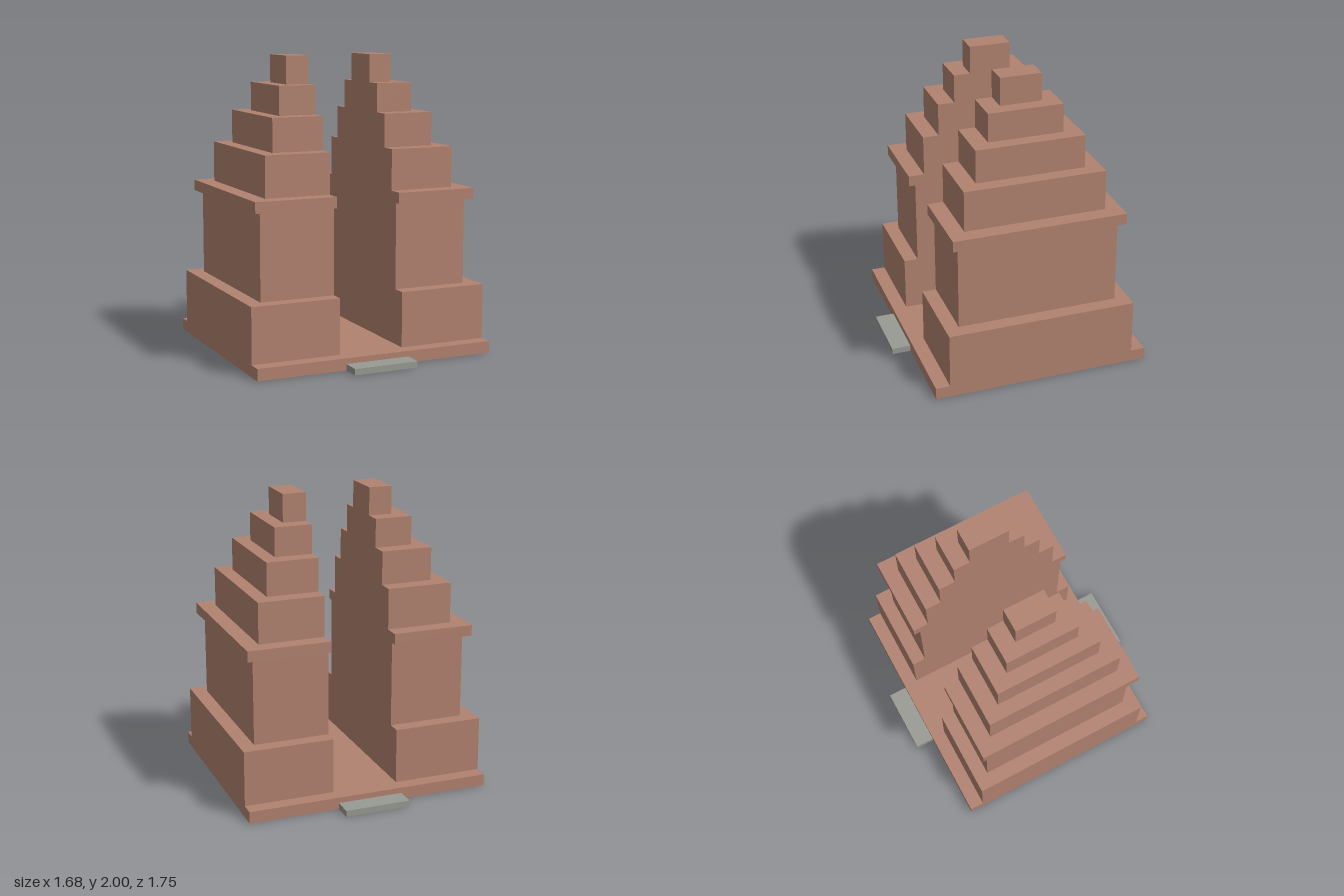
import * as THREE from 'three';

export function createModel() {
  const model = new THREE.Group();
  model.name = 'splitGate';

  const brick = new THREE.MeshStandardMaterial({ color: 0xb28270 });
  brick.name = 'brick';
  const stone = new THREE.MeshStandardMaterial({ color: 0x989a93 });
  stone.name = 'stone';

  // Box given by its lower and upper limits on each axis
  function block(name, material, [x0, x1], [y0, y1], [z0, z1], parent) {
    const mesh = new THREE.Mesh(new THREE.BoxGeometry(x1 - x0, y1 - y0, z1 - z0), material);
    mesh.position.set((x0 + x1) / 2, (y0 + y1) / 2, (z0 + z1) / 2);
    mesh.name = name;
    parent.add(mesh);
  }

  // Plinth with a low step before and behind the passage
  const gap = 0.225;
  block('plinth', brick, [-0.84, 0.84], [0, 0.08], [-0.743, 0.743], model);
  block('frontStep', stone, [-gap, gap], [0, 0.042], [0.743, 0.873], model);
  block('backStep', stone, [-gap, gap], [0, 0.042], [-0.873, -0.743], model);

  // Tower tiers: name, bottom, top, outer x, half depth
  const tiers = [
    ['foot', 0.08, 0.455, 0.84, 0.646],
    ['body', 0.455, 1.036, 0.74, 0.55],
    ['cornice', 1.036, 1.11, 0.787, 0.594],
    ['roofTier1', 1.11, 1.387, 0.677, 0.484],
    ['roofTier2', 1.387, 1.614, 0.58, 0.373],
    ['roofTier3', 1.614, 1.81, 0.484, 0.257],
    ['roofTier4', 1.81, 2.0, 0.386, 0.142],
  ];

  // Two mirrored halves with flat faces along the passage
  for (const side of [1, -1]) {
    const tower = new THREE.Group();
    tower.name = side > 0 ? 'leftTower' : 'rightTower';
    for (const [name, y0, y1, outer, depth] of tiers) {
      const xs = side > 0 ? [gap, outer] : [-outer, -gap];
      block(name, brick, xs, [y0, y1], [-depth, depth], tower);
    }
    model.add(tower);
  }
  return model;
}
